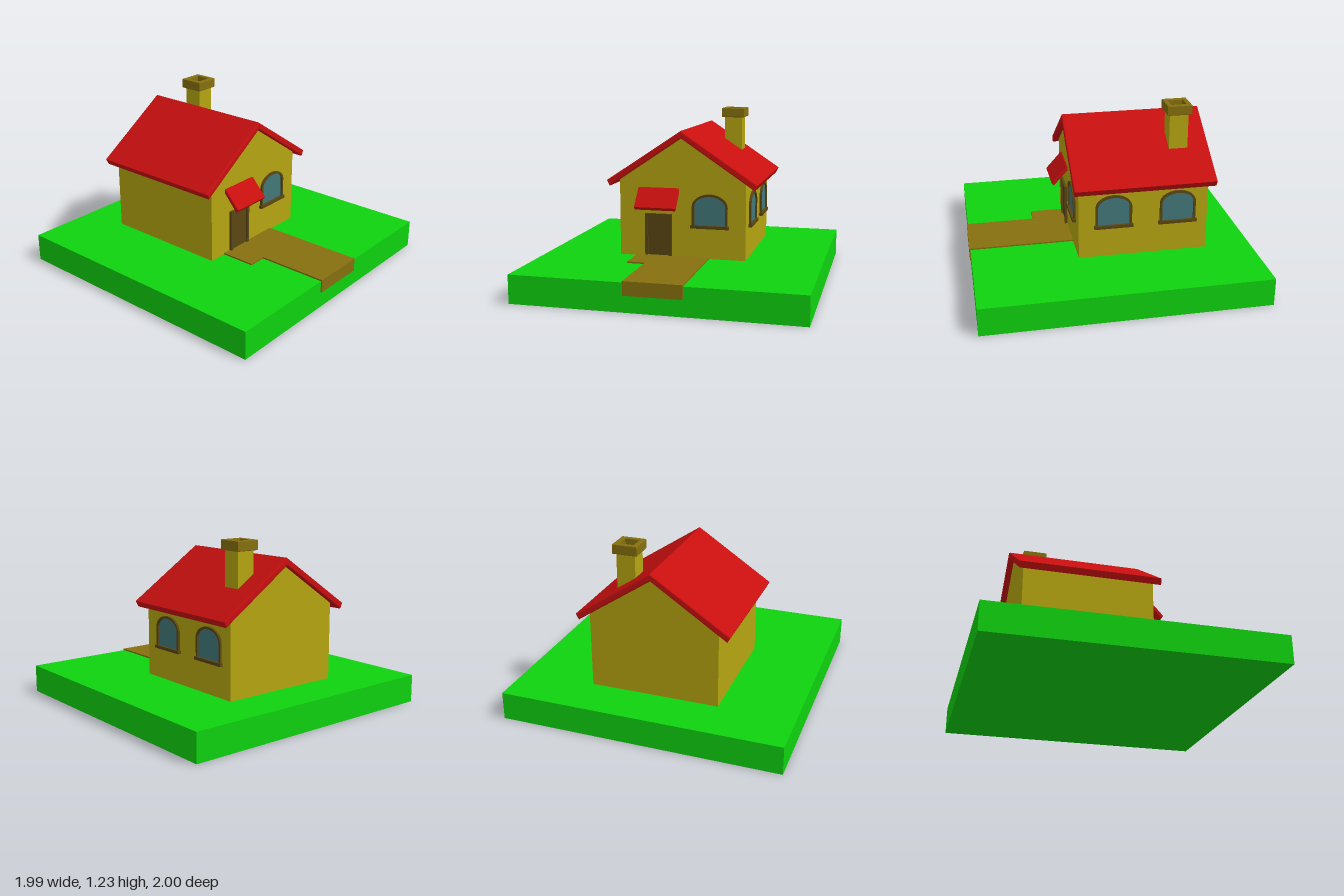
import * as THREE from 'three';

const mat = (color) => new THREE.MeshStandardMaterial({ color, flatShading: true });
const GREEN = mat(0x0fd30f), WALL = mat(0xb5a510), RED = mat(0xc80f0f);
const BROWN = mat(0x86700f), DARK = mat(0x594612), GLASS = mat(0x427879);

function add(parent, name, geometry, material) {
  const mesh = new THREE.Mesh(geometry, material);
  mesh.name = name;
  parent.add(mesh);
  return mesh;
}

// Box given by its lower and upper limits on each axis
function block(parent, name, [x0, x1], [y0, y1], [z0, z1], material) {
  const geo = new THREE.BoxGeometry(x1 - x0, y1 - y0, z1 - z0);
  geo.translate((x0 + x1) / 2, (y0 + y1) / 2, (z0 + z1) / 2);
  return add(parent, name, geo, material);
}

const polygon = (pts) => new THREE.Shape(pts.map(([x, y]) => new THREE.Vector2(x, y)));

// Prism of a shape between two depths, with optional bevel kept inside its limits
function prism(shape, z0, z1, bevel = 0) {
  const geo = new THREE.ExtrudeGeometry(shape, {
    depth: z1 - z0 - 2 * bevel, curveSegments: 20, bevelEnabled: bevel > 0,
    bevelSize: bevel, bevelThickness: bevel, bevelOffset: -bevel, bevelSegments: 2,
  });
  return geo.translate(0, 0, z0 + bevel);
}

// Straight sides from the sill with a flattened arch on top
function archShape(half, spring, rise) {
  const s = new THREE.Shape();
  s.moveTo(-half, 0);
  s.lineTo(half, 0);
  s.lineTo(half, spring);
  s.absellipse(0, spring, half, rise, 0, Math.PI, false, 0);
  s.lineTo(-half, 0);
  return s;
}

// Arched window facing +z, sill underside at y = 0, wall plane at z = 0
function makeWindow(name) {
  const g = new THREE.Group();
  g.name = name;
  const frame = archShape(0.128, 0.14, 0.09);
  frame.holes.push(archShape(0.112, 0.14, 0.074));
  add(g, 'windowFrame', prism(frame, -0.01, 0.016).translate(0, 0.015, 0), DARK);
  add(g, 'windowGlass', prism(archShape(0.12, 0.14, 0.082), -0.01, 0.004).translate(0, 0.015, 0), GLASS);
  block(g, 'windowSill', [-0.138, 0.138], [0, 0.022], [-0.01, 0.024], DARK);
  return g;
}

export function createModel() {
  const house = new THREE.Group();
  house.name = 'house';

  // Lawn and L-shaped path
  block(house, 'lawn', [-0.997, 0.997], [0, 0.2], [-1, 0.992], GREEN);
  const path = polygon([[-0.2, -1], [0.2, -1], [0.2, -0.24], [-0.33, -0.24], [-0.33, -0.5], [-0.2, -0.5]]);
  add(house, 'path', prism(path, 0.115, 0.211).rotateX(-Math.PI / 2), BROWN);

  // Gabled walls
  const gable = polygon([[-0.46, 0.19], [0.46, 0.19], [0.46, 0.765], [0, 1.07], [-0.46, 0.765]]);
  add(house, 'walls', prism(gable, -0.67, 0.25), WALL);

  // Two-sided roof with softened edges
  const roof = polygon([[0, 1.11], [-0.548, 0.746], [-0.527, 0.705], [0, 1.058], [0.527, 0.705], [0.548, 0.746]]);
  add(house, 'roof', prism(roof, -0.71, 0.29, 0.008), RED);

  // Chimney with a hollow cap
  block(house, 'chimneyStack', [0.166, 0.3], [0.88, 1.165], [-0.555, -0.421], WALL);
  const cap = polygon([[-0.087, -0.087], [0.087, -0.087], [0.087, 0.087], [-0.087, 0.087]]);
  cap.holes.push(polygon([[-0.052, -0.052], [-0.052, 0.052], [0.052, 0.052], [0.052, -0.052]]));
  const capMesh = add(house, 'chimneyCap', prism(cap, 0, 0.07, 0.005).rotateX(-Math.PI / 2), BROWN);
  capMesh.position.set(0.233, 1.16, -0.488);

  // Door with frame
  const door = new THREE.Group();
  door.name = 'door';
  house.add(door);
  const frame = polygon([[-0.27, 0.2], [-0.25, 0.2], [-0.25, 0.495], [-0.093, 0.495],
    [-0.093, 0.2], [-0.073, 0.2], [-0.073, 0.513], [-0.27, 0.513]]);
  add(door, 'doorFrame', prism(frame, 0.24, 0.268), DARK);
  block(door, 'doorPanel', [-0.252, -0.091], [0.2, 0.497], [0.24, 0.256], DARK);

  // Sloping canopy: profile in (z, y), swept along x
  const canopy = polygon([[0.245, 0.672], [0.352, 0.553], [0.37, 0.574], [0.257, 0.7], [0.245, 0.7]]);
  add(house, 'doorCanopy', prism(canopy, 0.02, 0.32, 0.004).rotateY(-Math.PI / 2), RED);

  // One front window and two on the model's left wall
  const front = makeWindow('frontWindow');
  front.position.set(0.203, 0.42, 0.25);
  house.add(front);
  for (const z of [0.003, -0.453]) {
    const side = makeWindow('sideWindow');
    side.rotation.y = Math.PI / 2;
    side.position.set(0.46, 0.42, z);
    house.add(side);
  }
  return house;
}
